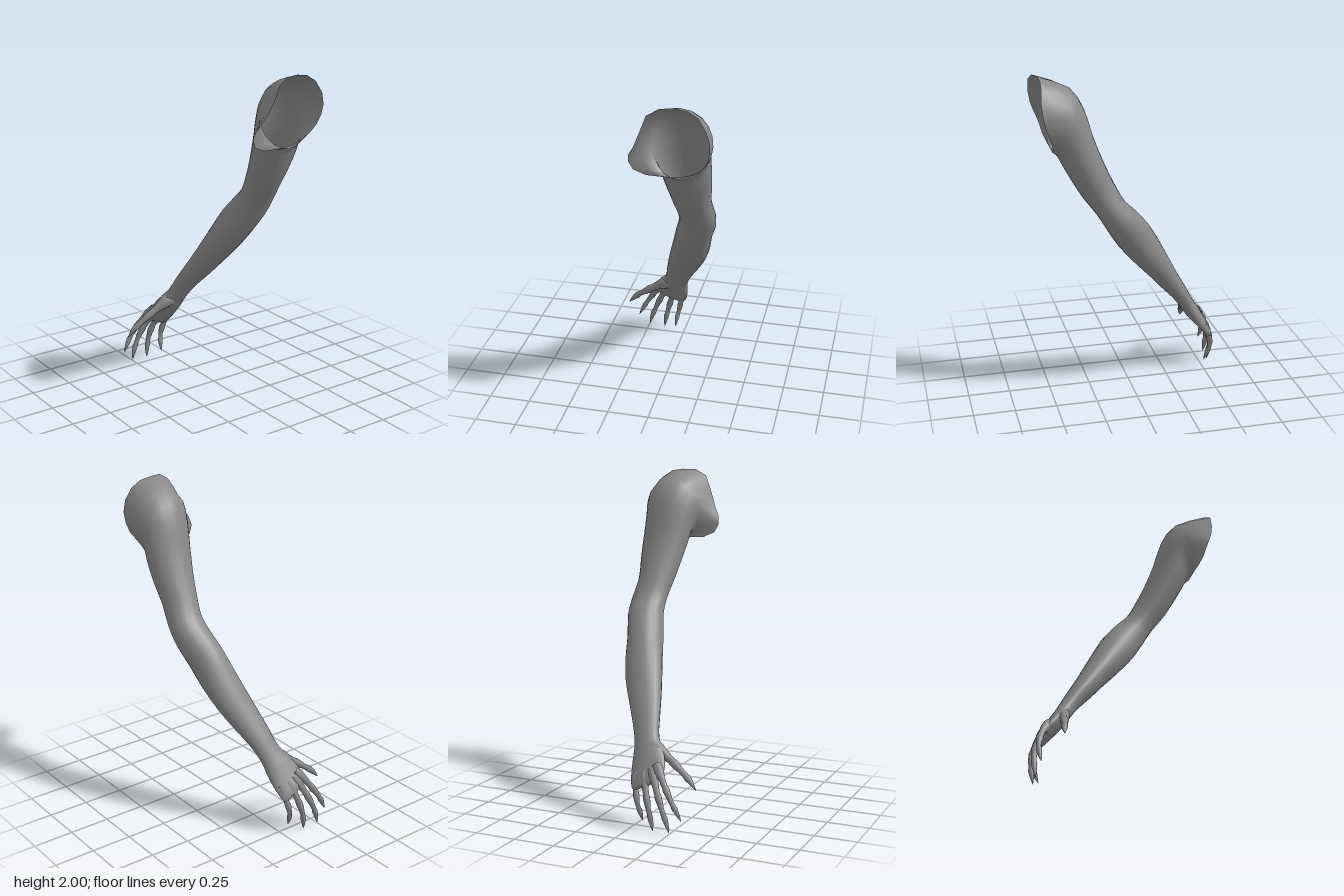
import * as THREE from 'three';

const material = new THREE.MeshStandardMaterial({ color: 0x888888, side: THREE.DoubleSide });
const SIDES = 20;
const vec = (p) => new THREE.Vector3(...p);

// Smooth skin over a list of rings, each with the same number of points
function loft(name, rings) {
  const n = rings[0].length, index = [];
  for (let j = 0; j < rings.length - 1; j++) {
    for (let i = 0; i < n; i++) {
      const a = j * n + i, b = j * n + (i + 1) % n;
      index.push(a, a + n, b, b, a + n, b + n);
    }
  }
  const geometry = new THREE.BufferGeometry().setFromPoints(rings.flat());
  geometry.setIndex(index);
  geometry.computeVertexNormals();
  const mesh = new THREE.Mesh(geometry, material);
  mesh.name = name;
  return mesh;
}

// Cross-section between outer point (lx, ly) and inner point (rx, ry),
// reaching from zf to zb in depth; tilt lifts its front edge along the arm
function section([lx, ly, rx, ry, zf, zb, tilt]) {
  const dx = (lx - rx) / 2, dy = (ly - ry) / 2, len = Math.hypot(dx, dy);
  const depth = (zf - zb) / 2;
  return Array.from({ length: SIDES }, (_, i) => {
    const t = (i / SIDES) * Math.PI * 2, c = Math.cos(t), s = Math.sin(t) * depth;
    return new THREE.Vector3(
      (lx + rx) / 2 + c * dx + s * tilt * dy / len,
      (ly + ry) / 2 + c * dy - s * tilt * dx / len,
      (zf + zb) / 2 + s);
  });
}

// Finger with a fleshy root, tapering through knuckles to a pointed claw
function finger(name, points, scale, root) {
  const curve = new THREE.CatmullRomCurve3(points.map(vec));
  const radii = [0.022, 0.024, 0.023, 0.019, 0.017, 0.017, 0.021, 0.018, 0.015, 0.014, 0.017, 0.013, 0.008, 0.001];
  const steps = radii.length - 1, n = 10;
  const { normals, binormals } = curve.computeFrenetFrames(steps);
  const rings = radii.map((radius, j) => {
    const centre = curve.getPointAt(j / steps);
    const r = radius * scale * (1 + (root - 1) * Math.max(0, 1 - j / 6));
    return Array.from({ length: n }, (_, i) => {
      const t = (i / n) * Math.PI * 2;
      return centre.clone()
        .addScaledVector(normals[j], Math.cos(t) * r)
        .addScaledVector(binormals[j], -Math.sin(t) * r);
    });
  });
  return loft(name, rings);
}

export function createModel() {
  const group = new THREE.Group();
  group.name = 'arm';

  // Open shoulder rim: top, front, bottom, back
  const rimCurve = new THREE.CatmullRomCurve3([
    [0.55, 2.0, -0.17], [0.58, 1.98, -0.04], [0.575, 1.85, 0.02], [0.545, 1.76, 0.06],
    [0.51, 1.68, 0.1], [0.49, 1.6, 0.06], [0.475, 1.575, -0.1], [0.485, 1.6, -0.24],
    [0.505, 1.66, -0.32], [0.54, 1.75, -0.355], [0.56, 1.86, -0.35], [0.55, 1.97, -0.28],
  ].map(vec), true);
  const rim = Array.from({ length: SIDES }, (_, i) => rimCurve.getPoint(i / SIDES));

  // Shoulder, upper arm, elbow, forearm, wrist and palm
  const sections = [
    [0.375, 1.935, 0.48, 1.57, -0.005, -0.355, 0],
    [0.295, 1.81, 0.455, 1.55, -0.03, -0.335, 0],
    [0.25, 1.66, 0.43, 1.5, -0.045, -0.333, 0],
    [0.19, 1.5, 0.37, 1.39, -0.07, -0.325, 0],
    [0.13, 1.37, 0.31, 1.29, -0.09, -0.31, 0.05],
    [0.07, 1.26, 0.235, 1.19, -0.105, -0.322, 0.1],
    [0, 1.19, 0.175, 1.09, -0.1, -0.315, 0.2],
    [-0.09, 1.08, 0.1, 0.97, -0.065, -0.275, 0.3],
    [-0.155, 0.97, 0.01, 0.86, -0.035, -0.25, 0.35],
    [-0.22, 0.85, -0.09, 0.75, 0, -0.21, 0.4],
    [-0.29, 0.72, -0.18, 0.645, 0.035, -0.15, 0.4],
    [-0.36, 0.6, -0.27, 0.545, 0.065, -0.09, 0.4],
    [-0.415, 0.5, -0.335, 0.455, 0.09, -0.05, 0.4],
    [-0.46, 0.43, -0.375, 0.395, 0.135, -0.04, 0.4],
    [-0.508, 0.345, -0.445, 0.32, 0.175, -0.025, 0.45],
    [-0.542, 0.29, -0.49, 0.27, 0.178, -0.003, 0.5],
    [-0.545, 0.26, -0.515, 0.25, 0.15, 0.015, 0.5],
  ].map(section);
  const tip = Array.from({ length: SIDES }, () => new THREE.Vector3(-0.532, 0.25, 0.085));
  const keys = [rim, ...sections, tip];

  // Smooth curves running lengthwise through matching ring points
  const lines = rim.map((_, i) => new THREE.CatmullRomCurve3(keys.map((ring) => ring[i])));
  const steps = (keys.length - 1) * 2;
  const rings = Array.from({ length: steps + 1 }, (_, j) => lines.map((line) => line.getPoint(j / steps)));
  group.add(loft('armAndPalm', rings));

  // Fingers and thumb
  group.add(
    finger('indexFinger', [[-0.475, 0.37, 0.13], [-0.522, 0.3, 0.185], [-0.555, 0.2, 0.25], [-0.556, 0.13, 0.29], [-0.55, 0.08, 0.315]], 1, 1.25),
    finger('middleFinger', [[-0.485, 0.345, 0.105], [-0.535, 0.265, 0.148], [-0.568, 0.15, 0.2], [-0.57, 0.07, 0.23], [-0.565, 0.008, 0.247]], 1.02, 1.25),
    finger('ringFinger', [[-0.49, 0.325, 0.06], [-0.54, 0.245, 0.088], [-0.568, 0.14, 0.118], [-0.565, 0.06, 0.135], [-0.558, 0.003, 0.142]], 1, 1.25),
    finger('littleFinger', [[-0.49, 0.315, 0.01], [-0.53, 0.232, 0.023], [-0.546, 0.15, 0.04], [-0.53, 0.09, 0.052], [-0.512, 0.04, 0.058]], 0.9, 1.25),
    finger('thumb', [[-0.392, 0.455, 0.06], [-0.395, 0.405, 0.15], [-0.412, 0.343, 0.24], [-0.427, 0.287, 0.31], [-0.435, 0.235, 0.355]], 1.2, 1.7),
  );
  return group;
}
